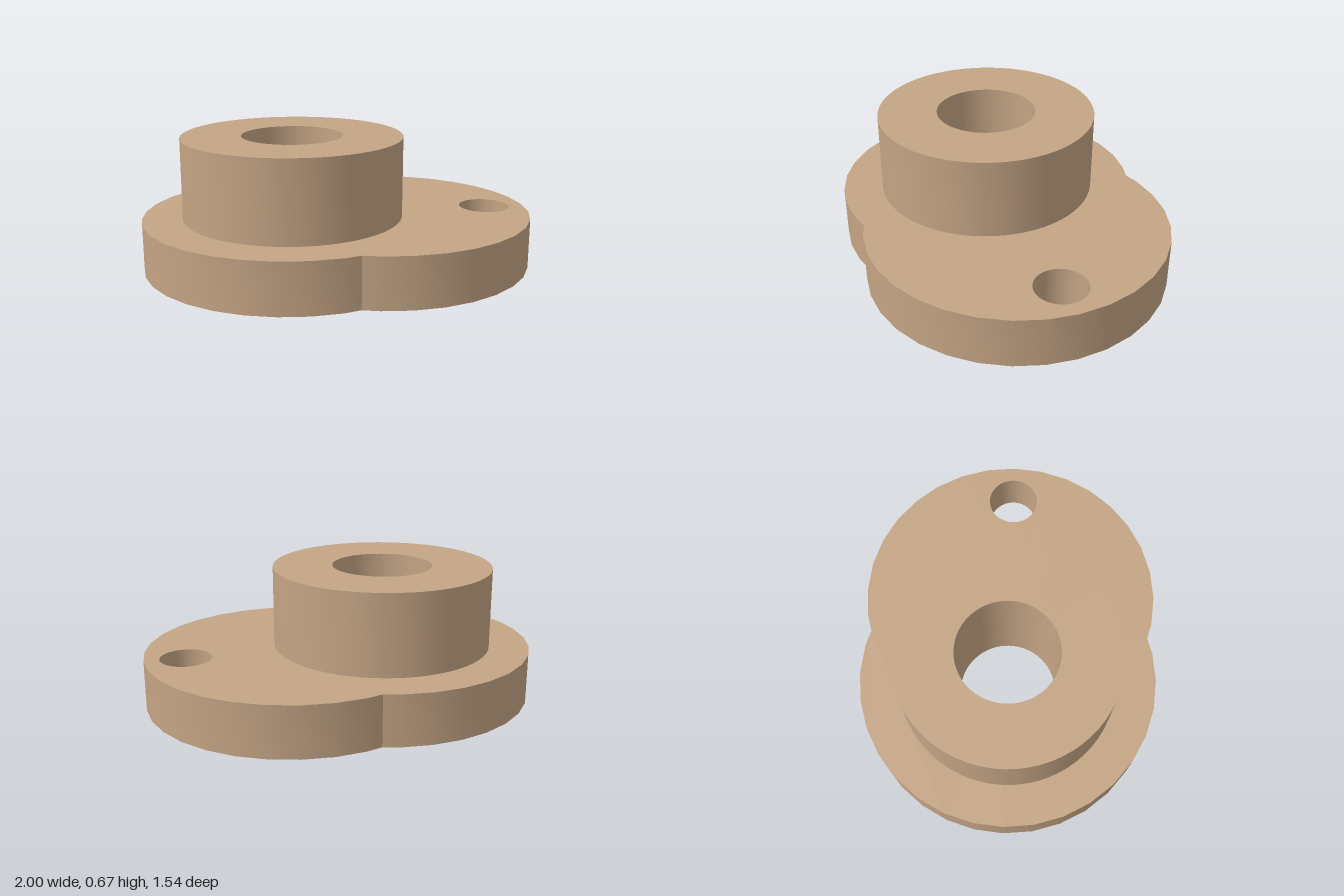
import * as THREE from 'three';
import { toCreasedNormals } from 'three/addons/utils/BufferGeometryUtils.js';

const BASE_H = 0.258, TOP = 0.67;      // heights of base and boss
const OFFSET = 0.232, LOBE_R = 0.768;  // base lobes at x = +-OFFSET
const BOSS_R = 0.563, BORE_R = 0.257;
const CREASE = 0.4;

export function createModel() {
  const group = new THREE.Group();
  const material = new THREE.MeshStandardMaterial({ color: 0xc4a484 });
  const add = (name, geometry) => {
    const mesh = new THREE.Mesh(toCreasedNormals(geometry, CREASE), material);
    mesh.name = name;
    group.add(mesh);
    return mesh;
  };

  // Base plate: two overlapping 32-sided discs, with a notch where they meet
  const outline = [];
  const notch = 0.729;
  for (const side of [1, -1]) {
    for (let k = -9; k <= 9; k++) {
      const a = (k * Math.PI) / 16;
      outline.push(new THREE.Vector2(
        side * (OFFSET + LOBE_R * Math.cos(a)), side * LOBE_R * Math.sin(a)));
    }
    outline.push(new THREE.Vector2(0, side * notch));
  }
  const plate = new THREE.Shape(outline);

  // Through holes: main bore and small side hole
  for (const [x, r] of [[-OFFSET, BORE_R], [0.792, 0.131]]) {
    plate.holes.push(new THREE.Path().absarc(x, 0, r, 0, Math.PI * 2, true));
  }
  add('basePlate', new THREE.ExtrudeGeometry(plate, {
    depth: BASE_H, bevelEnabled: false, curveSegments: 32,
  }).rotateX(-Math.PI / 2));

  // Hollow boss: outer wall, top ring, bore wall
  const profile = [[BOSS_R, BASE_H], [BOSS_R, TOP], [BORE_R, TOP], [BORE_R, BASE_H]]
    .map(([r, y]) => new THREE.Vector2(r, y));
  add('boss', new THREE.LatheGeometry(profile, 64)).position.x = -OFFSET;

  return group;
}
